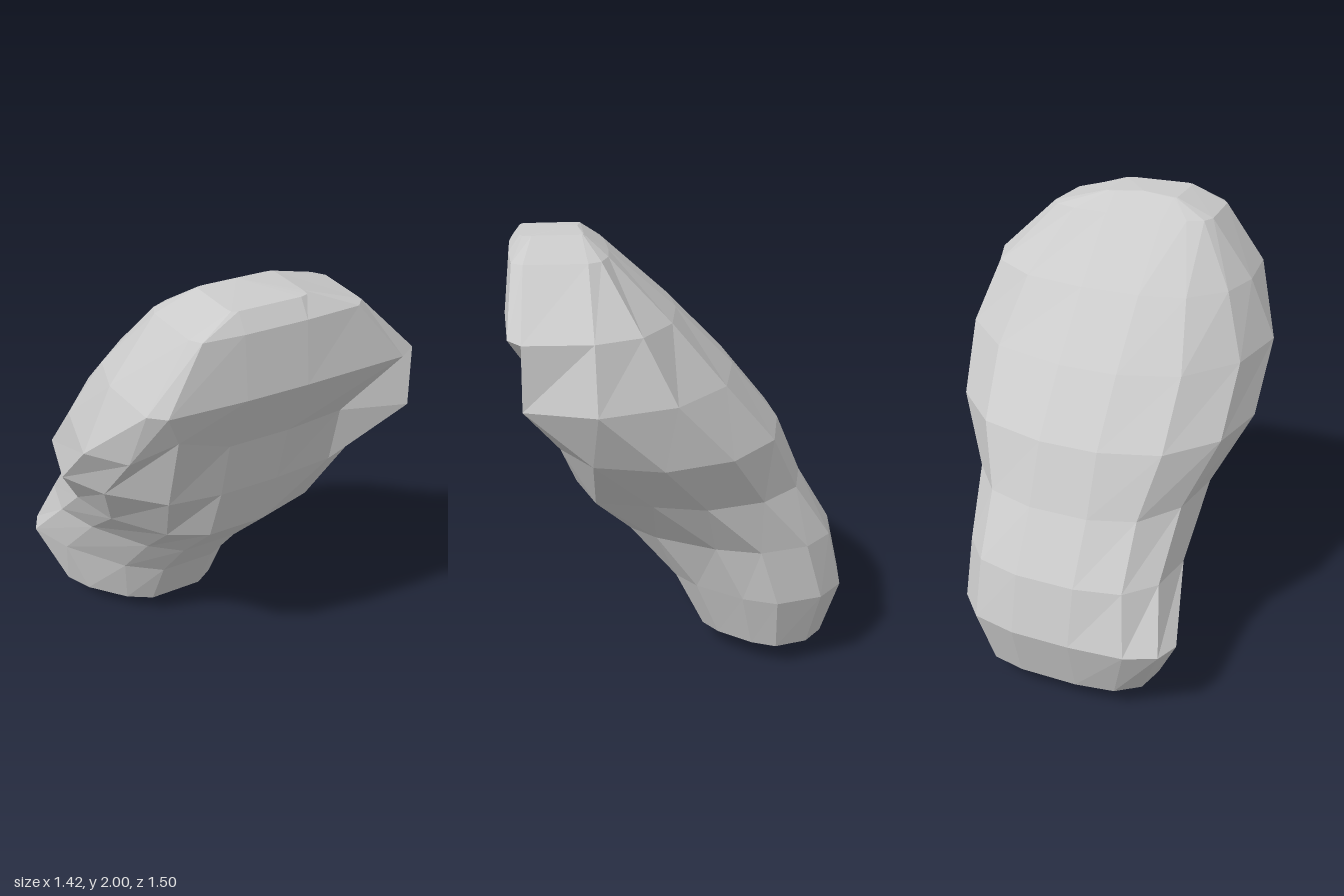
import * as THREE from 'three';

// Horizontal sections: height, right x, z of right side, left x, z of left side,
// back z, front z, roundness of back corners, roundness of front corners
const SECTIONS = [
  [0.0, -0.21, -0.36, 0.07, -0.36, -0.4, -0.33, 1, 1],
  [0.11, -0.51, -0.45, 0.32, -0.4, -0.67, -0.1, 0.85, 1.5],
  [0.38, -0.62, -0.57, 0.4, -0.38, -0.75, 0.03, 0.82, 1.5],
  [0.64, -0.56, -0.32, 0.4, -0.3, -0.69, 0.24, 0.85, 1.5],
  [0.89, -0.58, -0.04, 0.46, -0.05, -0.54, 0.48, 0.95, 1.25],
  [1.15, -0.71, 0.15, 0.64, 0.15, -0.43, 0.57, 1, 0.8],
  [1.41, -0.71, 0.41, 0.71, 0.41, -0.22, 0.63, 1, 0.65],
  [1.67, -0.59, 0.41, 0.62, 0.41, 0.03, 0.75, 1, 0.32],
  [1.92, -0.4, 0.41, 0.35, 0.41, 0.31, 0.72, 0.9, 0.3],
  [1.99, -0.23, 0.42, 0.1, 0.42, 0.41, 0.67, 0.9, 0.3],
];
const STEPS = 3;
const MID_RIGHT = -0.2, MID_LEFT = 0.06; // flat strip along the middle

// One rounded quarter of a section, from the middle strip (t = 0) to the side (t = 1)
function corner(t, y, midX, midZ, sideX, sideZ, p) {
  const a = t * Math.PI / 2;
  const s = Math.pow(Math.sin(a), p);
  const c = t === 1 ? 0 : Math.pow(Math.cos(a), p);
  return new THREE.Vector3(midX + (sideX - midX) * s, y, sideZ + (midZ - sideZ) * c);
}

// Closed ring: back middle, left side, front, right side
function makeRing([y, xr, zr, xl, zl, back, front, pBack, pFront]) {
  const ring = [];
  for (let i = 0; i <= STEPS; i++) ring.push(corner(i / STEPS, y, MID_LEFT, back, xl, zl, pBack));
  for (let i = STEPS - 1; i >= 0; i--) ring.push(corner(i / STEPS, y, MID_LEFT, front, xl, zl, pFront));
  for (let i = 0; i <= STEPS; i++) ring.push(corner(i / STEPS, y, MID_RIGHT, front, xr, zr, pFront));
  for (let i = STEPS - 1; i >= 0; i--) ring.push(corner(i / STEPS, y, MID_RIGHT, back, xr, zr, pBack));
  return ring;
}

function bodyGeometry() {
  const rings = SECTIONS.map(makeRing);

  // Notches and lugs along the front edges below the head
  rings[6][4].set(0.6, 1.41, 0.69);
  rings[6][5].set(0.33, 1.41, 0.6);
  rings[6][8].set(-0.45, 1.53, 0.69);
  rings[6][9].set(-0.6, 1.42, 0.58);
  rings[5][4].set(0.6, 1.17, 0.43);
  rings[5][5].set(0.33, 1.15, 0.55);
  rings[5][8].set(-0.43, 1.17, 0.56);
  rings[5][9].set(-0.62, 1.17, 0.37);
  rings[4][5].set(0.32, 0.89, 0.41);

  const count = rings[0].length;
  const positions = [], index = [];
  rings.flat().forEach((v) => positions.push(v.x, v.y, v.z));
  for (let r = 0; r < rings.length - 1; r++) {
    for (let j = 0; j < count; j++) {
      const a = r * count + j, b = r * count + (j + 1) % count;
      index.push(a, a + count, b, b, a + count, b + count);
    }
  }

  // End caps
  const bottom = positions.length / 3, top = bottom + 1;
  positions.push(-0.07, 0, -0.36, -0.07, 2, 0.43);
  const last = (rings.length - 1) * count;
  for (let j = 0; j < count; j++) {
    const k = (j + 1) % count;
    index.push(bottom, j, k, top, last + k, last + j);
  }

  const geometry = new THREE.BufferGeometry();
  geometry.setAttribute('position', new THREE.Float32BufferAttribute(positions, 3));
  geometry.setIndex(index);
  const faceted = geometry.toNonIndexed();
  faceted.computeVertexNormals();
  return faceted;
}

export function createModel() {
  const group = new THREE.Group();
  group.name = 'leaningLump';
  const material = new THREE.MeshStandardMaterial({ color: 0xcccccc, flatShading: true });
  const body = new THREE.Mesh(bodyGeometry(), material);
  body.name = 'body';
  group.add(body);
  return group;
}
